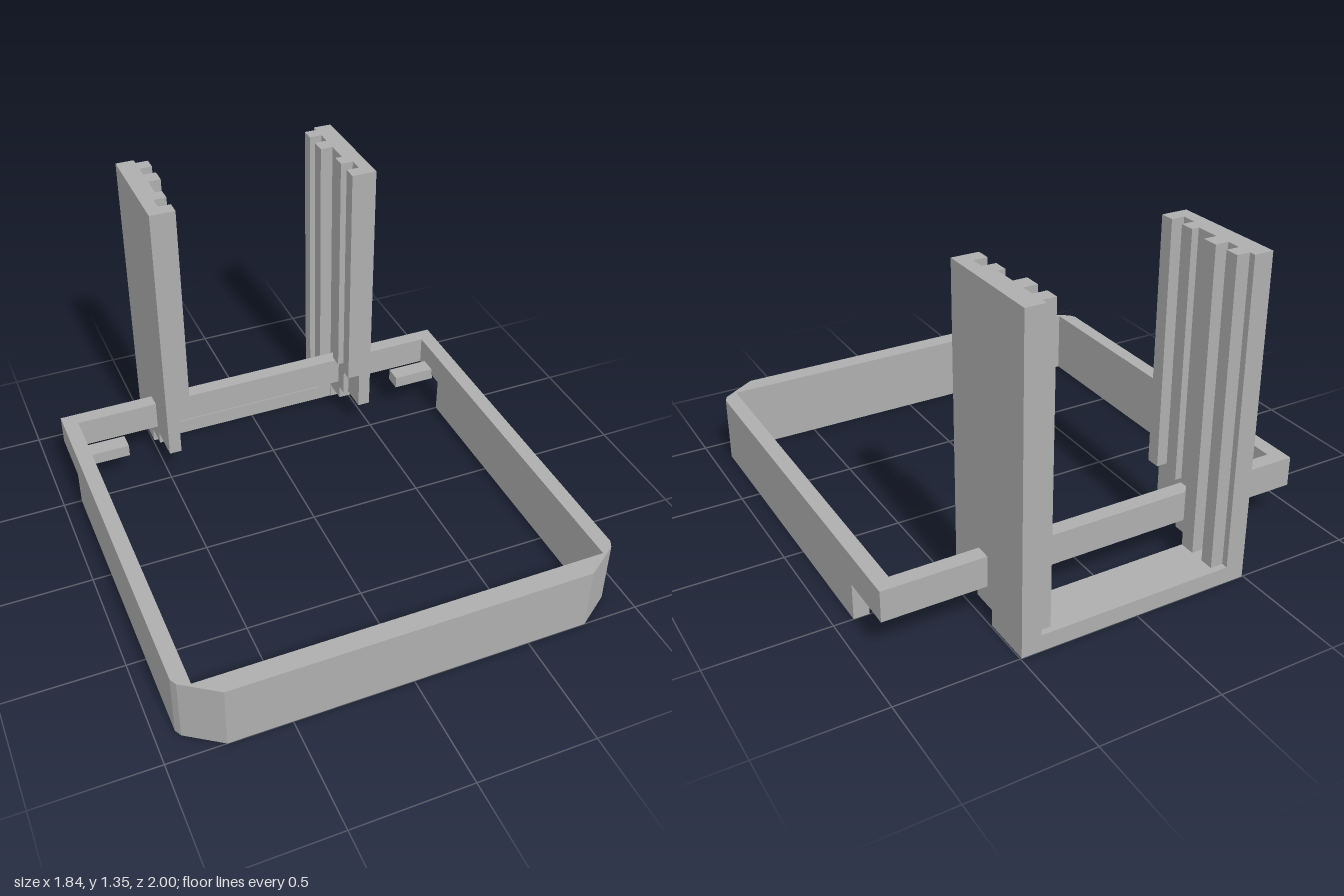
import * as THREE from 'three';

export function createModel() {
  const model = new THREE.Group();
  const grey = new THREE.MeshStandardMaterial({ color: 0xaeaeae });
  grey.name = 'mid grey';

  const add = (name, geometry) => {
    const mesh = new THREE.Mesh(geometry, grey);
    mesh.name = name;
    model.add(mesh);
  };
  const box = (name, xa, xb, y0, y1, z0, z1) => {
    const g = new THREE.BoxGeometry(Math.abs(xb - xa), y1 - y0, z1 - z0);
    add(name, g.translate((xa + xb) / 2, (y0 + y1) / 2, (z0 + z1) / 2));
  };
  const extrude = (points, depth) => new THREE.ExtrudeGeometry(
    new THREE.Shape(points.map(([a, b]) => new THREE.Vector2(a, b))),
    { depth, bevelEnabled: false });
  // Upright prism from an [x, z] plan
  const prism = (name, plan, y0, y1) => add(name,
    extrude(plan.map(([x, z]) => [x, -z]), y1 - y0).rotateX(-Math.PI / 2).translate(0, y0, 0));
  const mirrored = (half) => [...half, ...half.map(([x, z]) => [-x, z]).reverse()];

  // Front frame: deep U with chamfered front corners
  const outer = mirrored([[0.92, -0.5], [0.92, 0.87], [0.905, 0.9], [0.76, 1]]);
  const inner = mirrored([[0.855, -0.5], [0.855, 0.918]]).reverse();
  prism('frontFrame', [...outer, ...inner], 0, 0.285);

  // Back frame: shallower U, raised off the ground
  prism('backFrame', [
    [0.92, -0.5], [0.92, -0.755], [-0.92, -0.755], [-0.92, -0.5],
    [-0.855, -0.5], [-0.855, -0.69], [0.855, -0.69], [0.855, -0.5],
  ], 0.155, 0.285);

  // Beam joining the feet of the uprights
  box('crossBeam', -0.416, 0.416, 0, 0.07, -1, -0.79);

  for (const s of [-1, 1]) {
    // Grooved upright rail above the frame
    prism('uprightRail', [
      [0.495, -1], [0.415, -1], [0.415, -0.973], [0.36, -0.973], [0.36, -0.915],
      [0.415, -0.915], [0.415, -0.857], [0.36, -0.857], [0.36, -0.79], [0.415, -0.79],
      [0.415, -0.69], [0.385, -0.69], [0.385, -0.63], [0.44, -0.63], [0.44, -0.57],
      [0.385, -0.57], [0.385, -0.51], [0.495, -0.51],
    ].map(([x, z]) => [s * x, z]), 0.305, 1.35);

    // Stepped foot of the upright, drawn as a [z, y] side profile
    const foot = [
      [-1, 0], [-0.787, 0], [-0.787, 0.07], [-0.675, 0.07], [-0.675, 0.13],
      [-0.63, 0.13], [-0.63, 0.305], [-1, 0.305],
    ];
    add('uprightFoot', extrude(foot.map(([z, y]) => [-z, y]), 0.08)
      .rotateY(Math.PI / 2).translate(s > 0 ? 0.415 : -0.495, 0, 0));
    box('uprightToe', s * 0.44, s * 0.495, 0.13, 0.305, -0.63, -0.51);

    // Rear rail teeth run down to the beam
    box('lowerTooth', s * 0.36, s * 0.415, 0.07, 0.305, -0.973, -0.915);
    box('lowerTooth', s * 0.36, s * 0.415, 0.07, 0.305, -0.857, -0.79);

    // Small tab inside the frame
    box('sideTab', s * 0.665, s * 0.86, 0.13, 0.185, -0.645, -0.57);
  }
  return model;
}
